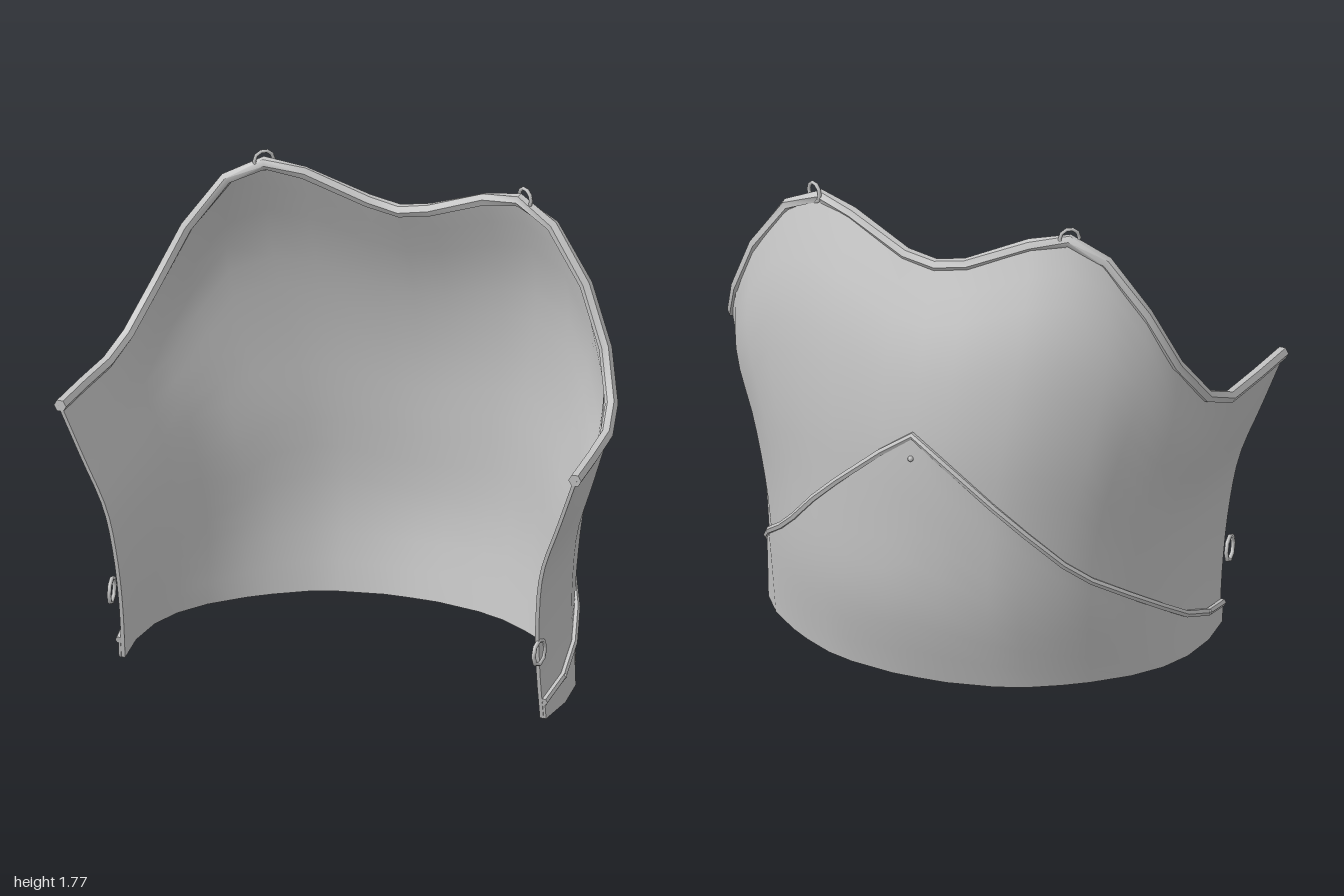
import * as THREE from 'three';
import { toCreasedNormals } from 'three/addons/utils/BufferGeometryUtils.js';

// Half of the U-shaped plan:
// [share of width at the hem, share of width at the chest, share of depth from back to front]
const PLAN = [[0, 0, 0], [0.13, 0.13, 0.003], [0.34, 0.35, 0.04], [0.47, 0.49, 0.085], [0.61, 0.655, 0.165],
  [0.71, 0.765, 0.235], [0.85, 0.9, 0.36], [0.945, 0.963, 0.49], [1.0, 0.985, 0.63], [1.02, 0.993, 0.81], [1, 1, 1]];
// Upper edge of the shell, one point per column
const RIM = [[0, 1.565, -0.325], [0.12, 1.588, -0.322], [0.35, 1.685, -0.27], [0.49, 1.715, -0.238],
  [0.625, 1.645, -0.215], [0.765, 1.45, -0.178], [0.86, 1.24, -0.118], [0.925, 1.08, 0],
  [0.955, 1.022, 0.14], [0.972, 1.022, 0.35], [0.984, 1.022, 0.555]];
// Outward swell of the shell halfway between chest and rim, one per column
const SWELL = [0.035, 0.035, 0.04, 0.045, 0.045, 0.04, 0.03, 0.01, 0, 0, 0];
// Height of the lower plate's edge, one per column
const EDGE = [0.985, 0.9, 0.74, 0.635, 0.505, 0.425, 0.33, 0.245, 0.165, 0.105, 0.07];
// Height tables for half width and back depth
const WIDTH = [[0, 0.8], [0.2, 0.797], [0.4, 0.805], [0.65, 0.84], [0.8, 0.885], [1.05, 0.965]];
const BACK = [[0, -0.455], [0.32, -0.535], [0.6, -0.54], [0.85, -0.54], [1.05, -0.515]];
const LAST = PLAN.length - 1;

function lookup(table, y) {
  for (let i = 1; i < table.length; i++) {
    const [y0, a] = table[i - 1], [y1, b] = table[i];
    if (y <= y1) return a + (b - a) * (y - y0) / (y1 - y0);
  }
  return table[table.length - 1][1];
}

const outward = (p) => new THREE.Vector3(p.x, 0, Math.min(p.z - 0.1, 0)).normalize();
const offset = (p, d) => p.clone().addScaledVector(outward(p), d);

// Vertical curve of column c, where c runs from -LAST (right) to LAST (left)
function columnCurve(c) {
  const k = Math.abs(c), s = Math.sign(c), [rx, ry, rz] = RIM[k], [hem, chest, depth] = PLAN[k];
  const points = [0, 0.2, 0.4, 0.6].map((f) => {
    const y = f * ry, back = lookup(BACK, y), front = 0.395 + 0.157 * y;
    const share = hem + (chest - hem) * Math.min(y, 1);
    return new THREE.Vector3(s * share * lookup(WIDTH, y), y, back + (front - back) * depth);
  });
  const rim = new THREE.Vector3(s * rx, ry, rz);
  points.push(offset(points[3].clone().lerp(rim, 0.5), SWELL[k]), rim);
  return new THREE.CatmullRomCurve3(points);
}

// Curve parameter at which a column reaches height y
function paramAt(curve, y) {
  let lo = 0, hi = 1;
  for (let i = 0; i < 24; i++) {
    const mid = (lo + hi) / 2;
    if (curve.getPoint(mid).y < y) lo = mid; else hi = mid;
  }
  return lo;
}

// Joins closed loops of equal size and caps both ends
function loft(loops) {
  const L = loops[0].length, index = [], end = (loops.length - 1) * L;
  const quad = (a, b, c, d) => index.push(a, b, c, a, c, d);
  for (let c = 0; c < loops.length - 1; c++) {
    for (let i = 0; i < L; i++) {
      const j = (i + 1) % L, a = c * L, b = a + L;
      quad(a + i, a + j, b + j, b + i);
    }
  }
  for (let i = 0; i < L / 2 - 1; i++) {
    quad(i, L - 1 - i, L - 2 - i, i + 1);
    quad(end + i, end + i + 1, end + L - 2 - i, end + L - 1 - i);
  }
  const geometry = new THREE.BufferGeometry();
  geometry.setAttribute('position', new THREE.Float32BufferAttribute(loops.flat().flatMap((p) => p.toArray()), 3));
  geometry.setIndex(index);
  return toCreasedNormals(geometry, 0.65);
}

// Curved sheet between two offsets, from the bottom up to param top(n)
function sheet(curves, top, outer, inner, rows) {
  return loft(curves.map((curve, n) => {
    const points = [];
    for (let r = 0; r <= rows; r++) points.push(curve.getPoint(top(n) * r / rows));
    return [...points.map((p) => offset(p, outer)), ...points.reverse().map((p) => offset(p, inner))];
  }));
}

// Six-sided bead following a path, with a point facing outward
function bead(path, radius, height) {
  return loft(path.map((p, n) => {
    const before = path[Math.max(n - 1, 0)], after = path[Math.min(n + 1, path.length - 1)];
    const t = after.clone().sub(before).normalize();
    const out = outward(p);
    out.addScaledVector(t, -out.dot(t)).normalize();
    const side = t.clone().cross(out);
    return Array.from({ length: 6 }, (_, i) => {
      const a = i * Math.PI / 3;
      return p.clone().addScaledVector(out, Math.cos(a) * radius).addScaledVector(side, Math.sin(a) * height);
    });
  }));
}

export function createModel() {
  const group = new THREE.Group();
  const steel = new THREE.MeshStandardMaterial({ color: 0xc4c4c4 });
  steel.name = 'steel';
  const add = (name, geometry) => {
    const mesh = new THREE.Mesh(geometry, steel);
    mesh.name = name;
    group.add(mesh);
    return mesh;
  };

  const columns = Array.from({ length: 2 * LAST + 1 }, (_, i) => i - LAST);
  const curves = columns.map(columnCurve);
  const edgeParam = curves.map((curve, n) => paramAt(curve, EDGE[Math.abs(columns[n])]));

  // Main shell and its raised upper rim
  add('backShell', sheet(curves, () => 1, 0, -0.014, 16));
  add('upperRim', bead(curves.map((c) => offset(c.getPoint(1), -0.008)), 0.024, 0.024));

  // Overlapping lower plate with a pointed, beaded edge
  add('lowerPlate', sheet(curves, (n) => edgeParam[n], 0.01, 0.001, 8));
  add('lowerPlateEdge', bead(curves.map((c, n) => offset(c.getPoint(edgeParam[n]), 0.008)), 0.013, 0.014));

  // Rivets on the lower plate
  const rivet = (c, y) => {
    const curve = curves[c + LAST], p = curve.getPoint(paramAt(curve, y));
    const mesh = add('rivet', new THREE.SphereGeometry(0.011, 8, 6));
    mesh.position.copy(offset(p, 0.012));
  };
  rivet(0, 0.9);

  for (const s of [-1, 1]) {
    rivet(s * 9, 0.105);
    // Strap rings on the shoulders and at the waist
    const shoulder = add('shoulderRing', new THREE.TorusGeometry(0.036, 0.007, 6, 10));
    shoulder.position.set(s * 0.495 + 0.01, 1.725, -0.235);
    shoulder.rotation.y = -s * 0.6;
    const waist = add('waistRing', new THREE.TorusGeometry(0.046, 0.008, 6, 8));
    waist.position.set(s * 0.81 - 0.012, 0.275, 0.435);
    waist.rotation.y = s * (Math.PI / 2 - 0.12);
  }
  return group;
}
